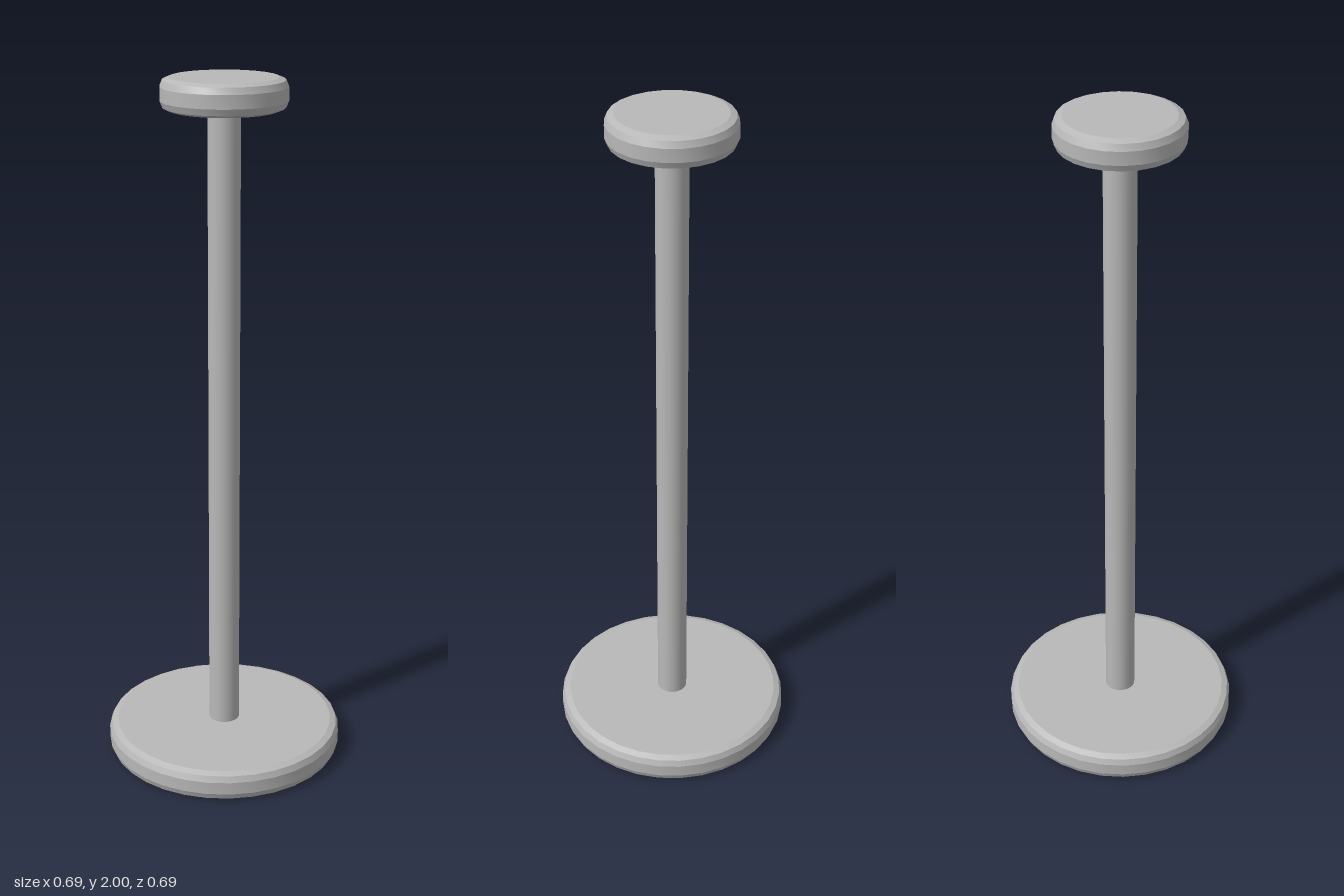
import * as THREE from 'three';
import { toCreasedNormals } from 'three/addons/utils/BufferGeometryUtils.js';

const HEIGHT = 2;
const THICKNESS = 0.087;
const BEVEL = 0.025;

// Round plate with a two-step bevel on both rims
function bevelledDisc(radius, sides) {
  const profile = [new THREE.Vector2(0, 0)];
  for (const [centreY, start] of [[BEVEL, -Math.PI / 2], [THICKNESS - BEVEL, 0]]) {
    for (let i = 0; i <= 2; i++) {
      const a = start + (i * Math.PI) / 4;
      profile.push(new THREE.Vector2(radius - BEVEL + BEVEL * Math.cos(a), centreY + BEVEL * Math.sin(a)));
    }
  }
  profile.push(new THREE.Vector2(0, THICKNESS));
  return toCreasedNormals(new THREE.LatheGeometry(profile, sides), 0.35);
}

export function createModel() {
  const group = new THREE.Group();
  group.name = 'pedestalStand';
  const grey = new THREE.MeshStandardMaterial({ color: 0xb8b8b8 });
  grey.name = 'grey';

  const add = (name, geometry, y) => {
    const mesh = new THREE.Mesh(geometry, grey);
    mesh.name = name;
    mesh.position.y = y;
    group.add(mesh);
  };

  // Wide foot, slim post and small top plate
  add('base', bevelledDisc(0.347, 32), 0);
  add('post', new THREE.CylinderGeometry(0.045, 0.045, HEIGHT - 2 * THICKNESS + 0.02, 24, 1, true), HEIGHT / 2);
  add('topPlate', bevelledDisc(0.173, 24), HEIGHT - THICKNESS);

  return group;
}
